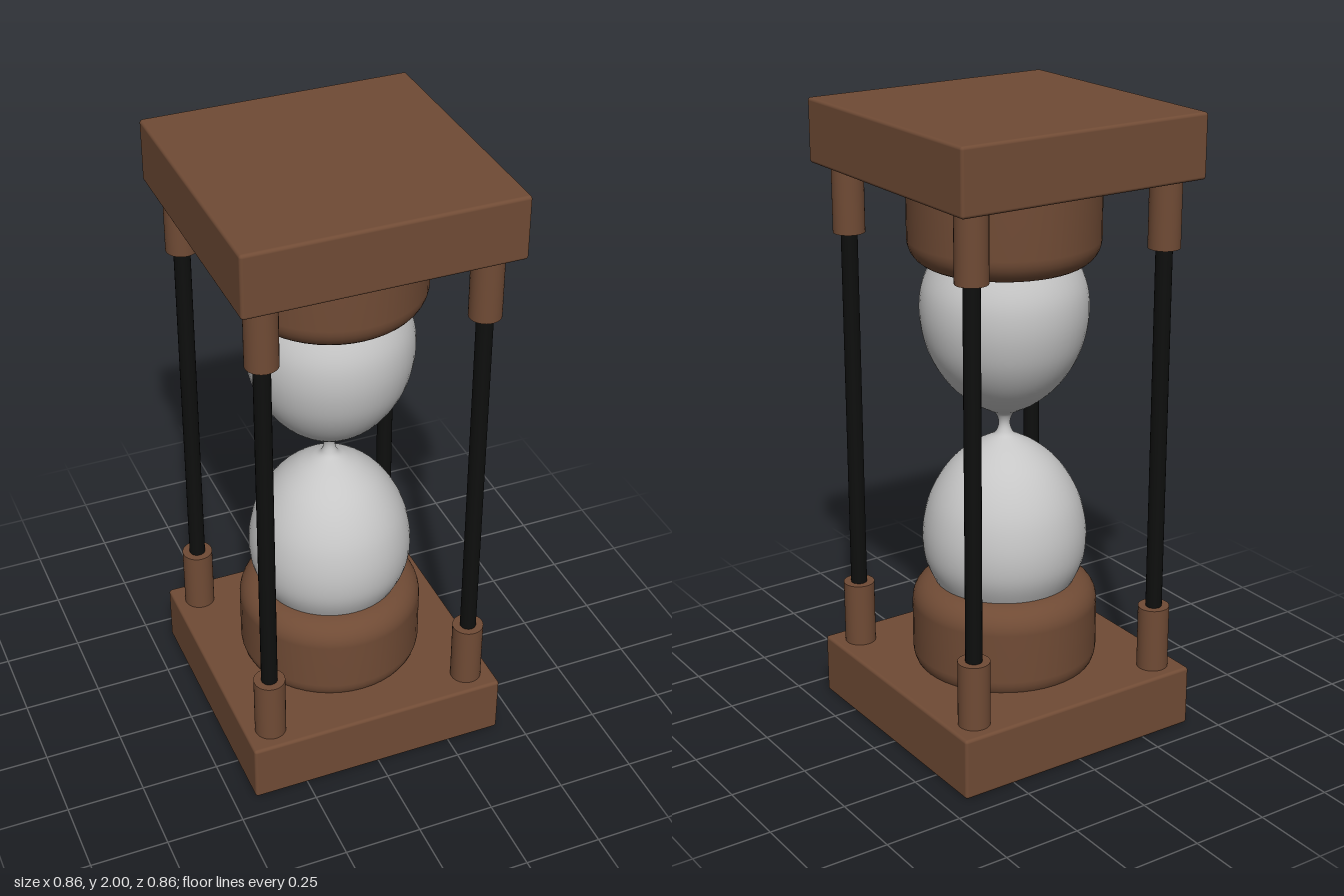
import * as THREE from 'three';
import { RoundedBoxGeometry } from 'three/addons/geometries/RoundedBoxGeometry.js';

const wood = new THREE.MeshStandardMaterial({ color: 0x704b35 });
wood.name = 'brown wood';
const glass = new THREE.MeshStandardMaterial({ color: 0xc6c6c6 });
glass.name = 'pale glass';
const metal = new THREE.MeshStandardMaterial({ color: 0x0e0f0e });
metal.name = 'black rod';

const V = (x, y) => new THREE.Vector2(x, y);

export function createModel() {
  const model = new THREE.Group();
  model.name = 'hourglass';
  const add = (name, geometry, material, x, y, z) => {
    const mesh = new THREE.Mesh(geometry, material);
    mesh.name = name;
    mesh.position.set(x, y, z);
    model.add(mesh);
    return mesh;
  };

  // Square end slabs with slightly softened edges
  const slab = new RoundedBoxGeometry(0.855, 0.2, 0.855, 3, 0.01);
  add('baseSlab', slab, wood, 0, 0.1, 0);
  add('topSlab', slab, wood, 0, 1.9, 0);

  // Round collars holding the bulbs, sunk a little into the slabs
  const R = 0.297, r = 0.08, half = 0.16;
  const profile = [V(0, -half)];
  for (const [cy, start] of [[-half + r, -Math.PI / 2], [half - r, 0]]) {
    for (let i = 0; i <= 8; i++) {
      const a = start + (i / 8) * (Math.PI / 2);
      profile.push(V(R - r + r * Math.cos(a), cy + r * Math.sin(a)));
    }
  }
  profile.push(V(0, half));
  const collar = new THREE.LatheGeometry(profile, 48);
  add('baseCollar', collar, wood, 0, 0.32, 0);
  add('topCollar', collar, wood, 0, 1.68, 0);

  // Glass: half profile below the neck, mirrored to make the upper bulb
  const lower = [
    [0.13, -0.61], [0.195, -0.565], [0.23, -0.51], [0.254, -0.45], [0.262, -0.387],
    [0.257, -0.32], [0.239, -0.25], [0.207, -0.185], [0.163, -0.127],
    [0.108, -0.08], [0.06, -0.052], [0.033, -0.037], [0.022, -0.02],
  ].map(([x, y]) => V(x, y));
  const upper = lower.map((p) => V(p.x, -p.y)).reverse();
  const curve = new THREE.SplineCurve([...lower, V(0.018, 0), ...upper]);
  add('glassBulbs', new THREE.LatheGeometry(curve.getPoints(120), 48), glass, 0, 1, 0);

  // Four corner posts: dark rod between wooden sleeves
  const rod = new THREE.CylinderGeometry(0.026, 0.026, 1.24, 20);
  const sleeve = new THREE.CylinderGeometry(0.05, 0.05, 0.23, 32);
  for (const x of [-0.343, 0.343]) {
    for (const z of [-0.343, 0.343]) {
      add('rod', rod, metal, x, 1, z);
      add('lowerSleeve', sleeve, wood, x, 0.296, z);
      add('upperSleeve', sleeve, wood, x, 1.704, z);
    }
  }
  return model;
}
